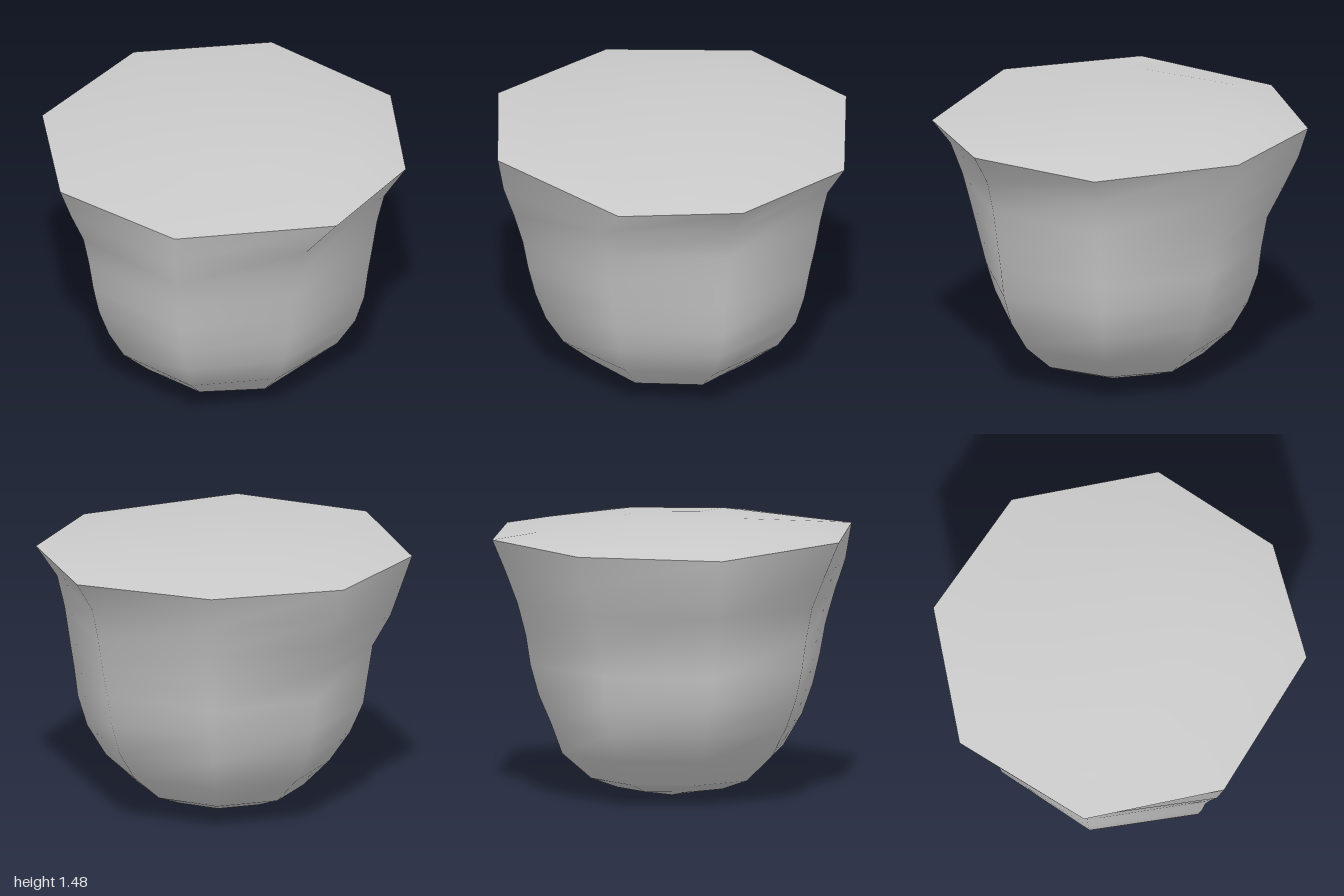
import * as THREE from 'three';
import { mergeVertices } from 'three/addons/utils/BufferGeometryUtils.js';

const SIDES = 8;
const HEIGHTS = [0.11, 0.25, 0.41, 0.57, 0.73, 0.89, 1.06, 1.23];
// Uneven rim corners, counted from the left (+x) towards the front (+z)
const RIM = [
  [1, 1.4, -0.03], [0.8, 1.4, 0.6], [0.02, 1.42, 0.99], [-0.69, 1.42, 0.72],
  [-1, 1.39, -0.01], [-0.7, 1.4, -0.72], [-0.02, 1.41, -1], [0.72, 1.39, -0.71],
];
// Radius of each side at the heights above, in the same order
const RADII = [
  [0.47, 0.63, 0.73, 0.78, 0.8, 0.825, 0.85, 0.89],
  [0.46, 0.59, 0.67, 0.72, 0.76, 0.8, 0.845, 0.91],
  [0.45, 0.61, 0.71, 0.77, 0.81, 0.84, 0.89, 0.95],
  [0.45, 0.6, 0.69, 0.75, 0.785, 0.81, 0.845, 0.92],
  [0.42, 0.56, 0.67, 0.74, 0.765, 0.79, 0.885, 0.945],
  [0.44, 0.59, 0.68, 0.735, 0.755, 0.785, 0.87, 0.95],
  [0.45, 0.61, 0.67, 0.74, 0.785, 0.81, 0.855, 0.92],
  [0.45, 0.62, 0.725, 0.775, 0.805, 0.84, 0.87, 0.91],
];

// Skin a stack of closed rings, running from bottom to top
function loft(rings) {
  const index = [];
  for (let i = 0; i < rings.length - 1; i++) {
    for (let j = 0; j < SIDES; j++) {
      const a = i * SIDES + j, b = i * SIDES + (j + 1) % SIDES;
      const c = a + SIDES, d = b + SIDES;
      index.push(a, c, b, b, c, d);
    }
  }
  let geometry = new THREE.BufferGeometry();
  geometry.setAttribute('position', new THREE.Float32BufferAttribute(rings.flat(2), 3));
  geometry.setIndex(index);
  geometry = mergeVertices(geometry);
  geometry.computeVertexNormals();
  return geometry;
}

// Copy of a ring shrunk towards a centre, at height y
const shrink = (ring, scale, y, cx = 0) =>
  ring.map(([x, , z]) => [cx + (x - cx) * scale, y, z * scale]);

export function createModel() {
  const group = new THREE.Group();
  const material = new THREE.MeshStandardMaterial({ color: 0xcccccc });
  const add = (name, rings) => {
    const mesh = new THREE.Mesh(loft(rings), material);
    mesh.name = name;
    group.add(mesh);
  };

  // Flared wall
  const wall = HEIGHTS.map((y, i) => RADII.map((radii, j) => {
    const angle = (j / SIDES) * Math.PI * 2;
    return [Math.cos(angle) * radii[i], y, Math.sin(angle) * radii[i]];
  }));
  add('wall', [...wall, RIM]);

  // Shallow domed lid, creased at the rim
  add('lid', [RIM, shrink(RIM, 0.75, 1.44), shrink(RIM, 0.4, 1.465), shrink(RIM, 0, 1.48)]);

  // Blunt pointed underside
  const foot = wall[0];
  add('underside', [
    shrink(foot, 0, 0, 0.02), shrink(foot, 0.36, 0.03, 0.02), shrink(foot, 0.67, 0.055, 0.02), foot,
  ]);

  return group;
}
